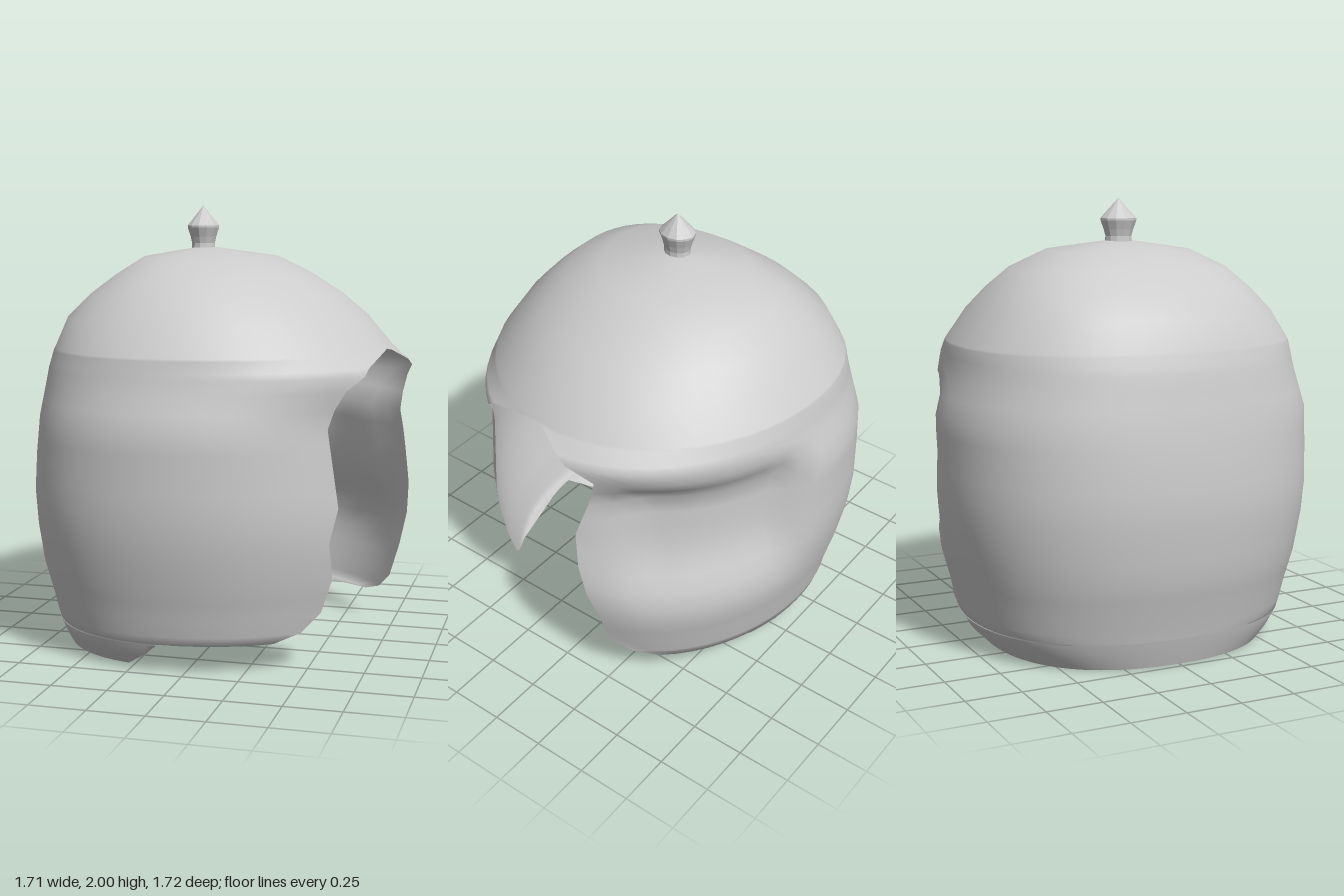
import * as THREE from 'three';
import { mergeVertices } from 'three/addons/utils/BufferGeometryUtils.js';

const CX = -0.11; // the dome axis sits a little behind the centre; the face opening is on +x
const COLS = 48;

// Cross-sections from the crown down:
// [height, rear radius, front radius, side radius, opening start angle, opening end angle]
const SECTIONS = [
  [1.812, 0.0, 0.0, 0.0, 0.12, -0.12],
  [1.81, 0.03, 0.06, 0.06, 0.12, -0.12],
  [1.77, 0.26, 0.35, 0.33, 0.12, -0.12],
  [1.69, 0.38, 0.51, 0.50, 0.12, -0.12],
  [1.60, 0.50, 0.65, 0.60, 0.12, -0.12],
  [1.50, 0.60, 0.77, 0.69, 0.12, -0.12],
  [1.37, 0.65, 0.88, 0.775, 0.12, -0.12],
  [1.36, 0.655, 0.89, 0.78, 0.21, -0.05],
  [1.31, 0.67, 0.95, 0.79, 0.487, 0.10],
  [1.28, 0.68, 0.97, 0.795, 0.54, 0.165],
  [1.22, 0.69, 0.97, 0.81, 0.64, 0.32],
  [1.06, 0.72, 0.925, 0.86, 0.65, 0.235],
  [0.89, 0.74, 0.945, 0.86, 0.635, 0.175],
  [0.72, 0.75, 0.965, 0.86, 0.62, 0.20],
  [0.57, 0.74, 0.965, 0.845, 0.68, 0.24],
  [0.40, 0.72, 0.94, 0.81, 0.635, 0.31],
  [0.25, 0.68, 0.90, 0.77, 0.67, 0.33],
  [0.17, 0.66, 0.88, 0.755, 0.78, 0.46],
  [0.13, 0.65, 0.87, 0.74, 0.945, 0.62],
  [0.125, 0.65, 0.87, 0.74, 1.58, 1.19],
  [0.06, 0.63, 0.84, 0.70, 1.71, 1.42],
  [0.0, 0.61, 0.80, 0.64, 1.85, 1.58],
];

const step = THREE.MathUtils.smoothstep;

// Point on the shell at angle t (0 = front, quarter turn = +z)
function shellPoint([y, rear, front, side], t) {
  const c = Math.cos(t), s = Math.sin(t);
  let k = 1;
  if (c < 0) k += 0.045 * Math.sin(2 * t) ** 2; // slightly square rear
  let f = front;
  if (s > 0) f *= 1 - 0.06 * step(s, 0, 0.5) * (1 - step(y, 1.1, 1.3));
  if (s < 0) {
    // pushed-in cheek on the -z side
    const a = Math.PI * 2 - t;
    const around = step(a, 0.2, 0.55) * (1 - step(a, 1.2, 1.5));
    const upright = step(y, 0.42, 0.8) * (1 - step(y, 1.04, 1.24));
    k -= 0.14 * around * upright;
  }
  return [CX + (c > 0 ? f : rear) * c * k, y, side * s * k];
}

function shellGeometry() {
  // subdivide the taller bands
  const rows = [];
  SECTIONS.forEach((row, i) => {
    const next = SECTIONS[i + 1];
    const n = next && row[0] - next[0] > 0.14 && row[0] < 1.3 ? 2 : 1;
    for (let j = 0; j < n; j++) {
      rows.push(row.map((v, q) => (j ? THREE.MathUtils.lerp(v, next[q], j / n) : v)));
    }
  });

  const pos = [], index = [];
  rows.forEach((row, i) => {
    const start = row[4], end = Math.PI * 2 - row[5];
    for (let j = 0; j <= COLS; j++) {
      pos.push(...shellPoint(row, start + ((end - start) * j) / COLS));
      if (i && j) {
        const d = i * (COLS + 1) + j, c = d - 1;
        const b = d - COLS - 1, a = b - 1;
        index.push(a, b, c, b, d, c);
      }
    }
  });
  let geo = new THREE.BufferGeometry();
  geo.setAttribute('position', new THREE.Float32BufferAttribute(pos, 3));
  geo.setIndex(index);
  geo = mergeVertices(geo, 1e-5); // closes the crown seam
  geo.computeVertexNormals();
  return geo;
}

export function createModel() {
  const group = new THREE.Group();
  group.name = 'helmet';

  // Open shell with face opening and stepped lower rim
  const shell = new THREE.Mesh(
    shellGeometry(),
    new THREE.MeshStandardMaterial({ color: 0xcccccc, side: THREE.DoubleSide })
  );
  shell.name = 'helmetShell';
  group.add(shell);

  // Pointed knob on the crown
  const profile = [[0.056, 1.79], [0.053, 1.83], [0.06, 1.86], [0.073, 1.9], [0.073, 1.91], [0, 2]]
    .map(([r, y]) => new THREE.Vector2(r, y));
  const knob = new THREE.Mesh(
    new THREE.LatheGeometry(profile, 12),
    new THREE.MeshStandardMaterial({ color: 0xcccccc, flatShading: true })
  );
  knob.name = 'crownKnob';
  knob.position.x = CX;
  knob.scale.z = 1.15;
  group.add(knob);

  return group;
}
